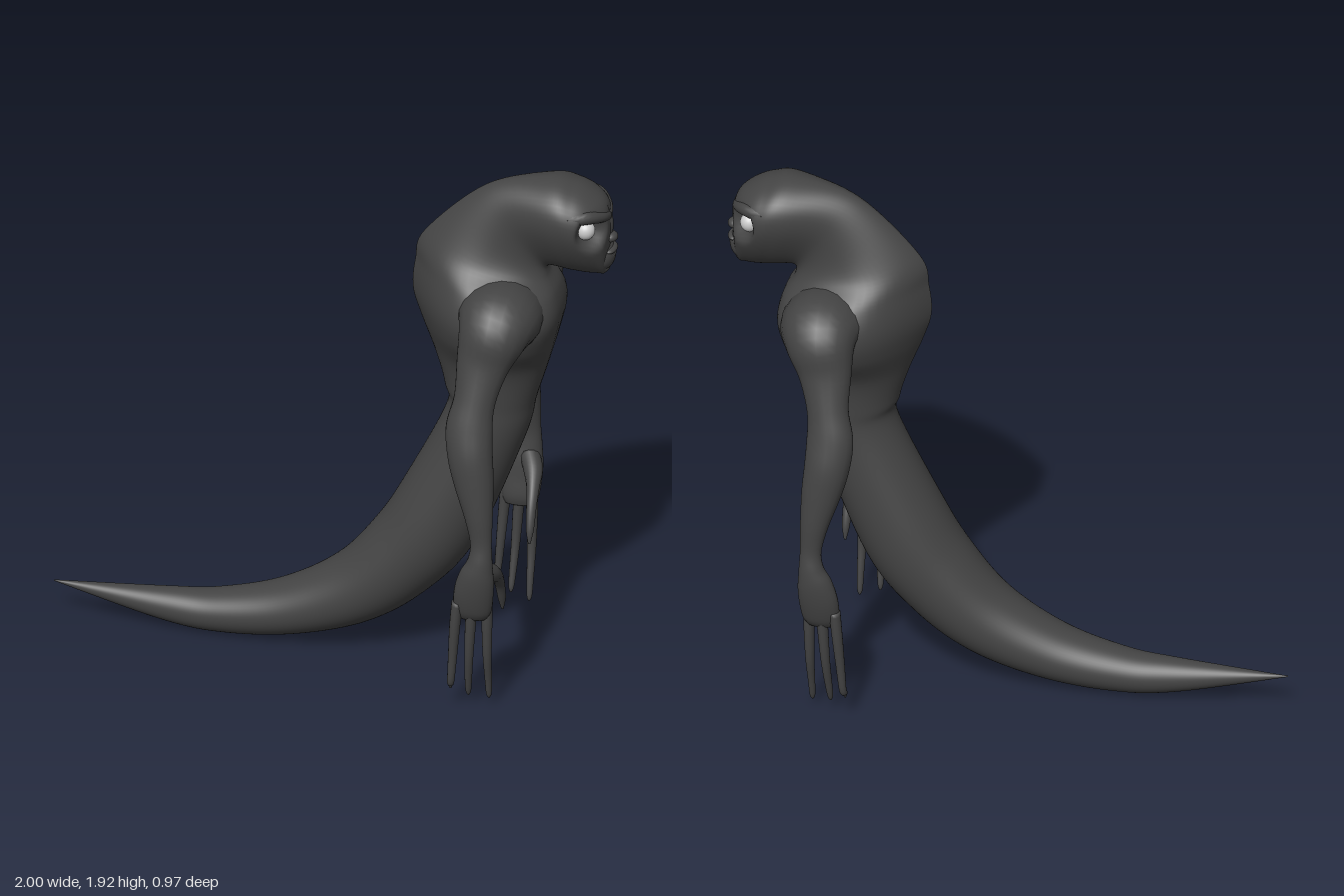
import * as THREE from 'three';

const skin = new THREE.MeshStandardMaterial({ color: 0x444444 });
const eyeWhite = new THREE.MeshStandardMaterial({ color: 0xcccccc });

// Smoothly subdivide a list of equal-length number rows (Catmull-Rom)
function smooth(rows, steps) {
  const out = [];
  const at = i => rows[Math.min(Math.max(i, 0), rows.length - 1)];
  for (let i = 0; i < rows.length - 1; i++) {
    for (let s = 0; s < steps; s++) {
      const t = s / steps;
      out.push(at(i).map((b, k) => {
        const a = at(i - 1)[k], c = at(i + 1)[k], d = at(i + 2)[k];
        return b + 0.5 * t * (c - a + t * (2 * a - 5 * b + 4 * c - d + t * (3 * (b - c) + d - a)));
      }));
    }
  }
  out.push(rows[rows.length - 1]);
  return out;
}

// Skin a list of closed rings and close both ends
function loft(rings) {
  const n = rings[0].length, pos = [], idx = [];
  rings.forEach(r => r.forEach(p => pos.push(p.x, p.y, p.z)));
  for (let i = 0; i < rings.length - 1; i++) {
    for (let j = 0; j < n; j++) {
      const a = i * n + j, b = i * n + (j + 1) % n;
      idx.push(a, b, a + n, b, b + n, a + n);
    }
  }
  [0, rings.length - 1].forEach((i, end) => {
    const c = new THREE.Vector3();
    rings[i].forEach(p => c.addScaledVector(p, 1 / n));
    const ci = pos.length / 3;
    pos.push(c.x, c.y, c.z);
    for (let j = 0; j < n; j++) {
      const a = i * n + j, b = i * n + (j + 1) % n;
      if (end) idx.push(a, b, ci); else idx.push(b, a, ci);
    }
  });
  const g = new THREE.BufferGeometry();
  g.setAttribute('position', new THREE.Float32BufferAttribute(pos, 3));
  g.setIndex(idx);
  g.computeVertexNormals();
  return g;
}

// Press an eye socket into a point on the face
function socket(p) {
  const s = Math.sign(p.z);
  const d = p.distanceTo(new THREE.Vector3(0.93, 1.763, 0.105 * s)) / 0.075;
  if (d < 1) p.addScaledVector(new THREE.Vector3(-0.8, 0, -0.6 * s), 0.055 * (1 - d * d) ** 1.5);
  return p;
}

// Trunk rows: back x, back y, front x, front y, half width, widest-point shift, back ridge sharpness
function trunk(rows) {
  const n = 56;
  return loft(smooth(rows, 8).map(([bx, by, fx, fy, w, k, p]) => Array.from({ length: n }, (_, j) => {
    const t = j / n * Math.PI * 2, c = Math.cos(t), s = Math.sin(t);
    const side = Math.sign(s) * Math.abs(s) ** (c > 0 ? p : p ** -0.6) * (1 + k * c);
    return socket(new THREE.Vector3((bx + fx + (bx - fx) * c) / 2, (by + fy + (by - fy) * c) / 2, w * side));
  })));
}

// Limb rows: centre x, y, z, radius along x, radius across
function limb(rows, sign, n = 20) {
  const pts = smooth(rows, 5).map(([x, y, z, a, b]) => ({ c: new THREE.Vector3(x, y, z * sign), a, b }));
  return loft(pts.map((q, i) => {
    const d = pts[Math.min(i + 1, pts.length - 1)].c.clone().sub(pts[Math.max(i - 1, 0)].c).normalize();
    const u = new THREE.Vector3(1, 0, 0);
    u.addScaledVector(d, -u.dot(d)).normalize();
    const v = d.clone().cross(u);
    return Array.from({ length: n }, (_, j) => {
      const t = j / n * Math.PI * 2;
      return q.c.clone().addScaledVector(u, q.a * Math.cos(t)).addScaledVector(v, q.b * Math.sin(t));
    });
  }));
}

export function createModel() {
  const model = new THREE.Group();
  const add = (name, geo, mat = skin) => {
    const m = new THREE.Mesh(geo, mat);
    m.name = name;
    model.add(m);
    return m;
  };
  const blob = (name, c, r, mat = skin) => {
    const m = add(name, new THREE.SphereGeometry(1, 24, 16), mat);
    m.position.set(...c);
    m.scale.set(...r);
  };

  // Tail, torso, crested neck and head in one skin
  add('body', trunk([
    [-1, 0.132, -1, 0.128, 0.002, 0, 1],
    [-0.6, 0.143, -0.61, 0.024, 0.062, 0, 1],
    [-0.42, 0.156, -0.38, 0.002, 0.088, 0, 1],
    [-0.2, 0.215, -0.12, 0.03, 0.115, 0, 1],
    [0, 0.335, 0.13, 0.11, 0.14, 0, 1],
    [0.14, 0.5, 0.33, 0.25, 0.157, 0, 1],
    [0.24, 0.67, 0.5, 0.46, 0.164, 0, 1],
    [0.39, 0.98, 0.67, 0.88, 0.143, 0, 1.05],
    [0.385, 1.08, 0.71, 1.04, 0.143, 0, 1.15],
    [0.35, 1.2, 0.755, 1.19, 0.165, 0, 1.4],
    [0.3, 1.33, 0.785, 1.3, 0.235, -0.05, 1.8],
    [0.272, 1.43, 0.805, 1.4, 0.255, -0.1, 2],
    [0.28, 1.54, 0.79, 1.48, 0.215, -0.1, 1.9],
    [0.315, 1.66, 0.755, 1.54, 0.135, 0, 1.6],
    [0.53, 1.86, 0.76, 1.575, 0.1, 0.15, 1.3],
    [0.75, 1.918, 0.84, 1.565, 0.14, 0.32, 1.12],
    [0.85, 1.905, 0.89, 1.56, 0.142, 0.35, 1.08],
    [0.92, 1.872, 0.93, 1.558, 0.118, 0.35, 1],
    [0.96, 1.835, 0.957, 1.562, 0.078, 0.25, 1],
    [0.975, 1.78, 0.972, 1.62, 0.025, 0.1, 1],
  ]));

  // Face
  blob('muzzle', [0.94, 1.635, 0], [0.05, 0.062, 0.06]);
  blob('nose', [0.97, 1.703, 0], [0.028, 0.02, 0.03]);
  blob('noseBridge', [0.96, 1.75, 0], [0.022, 0.06, 0.022]);
  blob('upperLip', [0.972, 1.658, 0], [0.024, 0.013, 0.045]);
  blob('lowerLip', [0.968, 1.636, 0], [0.023, 0.013, 0.038]);
  blob('chin', [0.943, 1.587, 0], [0.028, 0.028, 0.035]);

  for (const s of [1, -1]) {
    const side = s > 0 ? 'left' : 'right';
    blob(side + 'Eye', [0.9, 1.765, 0.087 * s], [0.034, 0.035, 0.033], eyeWhite);
    add(side + 'Brow', limb([
      [0.96, 1.785, 0, 0.018, 0.02], [0.942, 1.803, 0.05, 0.026, 0.022],
      [0.902, 1.82, 0.1, 0.026, 0.024], [0.84, 1.815, 0.125, 0.02, 0.024],
    ], s, 16));

    // Arm down to the knuckles
    add(side + 'Arm', limb([
      [0.61, 1.42, 0.05, 0.15, 0.12], [0.615, 1.44, 0.19, 0.15, 0.125],
      [0.605, 1.41, 0.262, 0.125, 0.108], [0.58, 1.32, 0.305, 0.095, 0.07],
      [0.56, 1.2, 0.35, 0.074, 0.055], [0.546, 1.1, 0.378, 0.083, 0.056],
      [0.553, 1, 0.396, 0.08, 0.063], [0.57, 0.9, 0.412, 0.07, 0.056],
      [0.59, 0.78, 0.43, 0.05, 0.042], [0.6, 0.68, 0.44, 0.038, 0.03],
      [0.597, 0.61, 0.445, 0.045, 0.036], [0.585, 0.55, 0.443, 0.062, 0.042],
      [0.573, 0.48, 0.437, 0.07, 0.04], [0.567, 0.41, 0.425, 0.066, 0.034],
      [0.566, 0.375, 0.42, 0.05, 0.02],
    ], s));

    // Fingers: knuckle x, tip x, tip y, knuckle z, tip z
    [[0.515, 0.485, 0.08, 0.437, 0.405], [0.566, 0.543, 0.045, 0.425, 0.378], [0.615, 0.612, 0.03, 0.405, 0.357]]
      .forEach(([x0, x1, y1, z0, z1], i) => {
        const mix = t => x0 + (x1 - x0) * t;
        add(side + 'Finger' + (i + 1), limb([
          [x0, 0.44, z0, 0.02, 0.024], [mix(0.3), 0.34, z0, 0.019, 0.022],
          [mix(0.6), 0.22, z0 - 0.008, 0.016, 0.018],
          [mix(0.85), 0.12, z1 + 0.018, 0.013, 0.014],
          [mix(0.97), y1 + 0.02, z1 + 0.004, 0.01, 0.01], [x1, y1, z1, 0.003, 0.003],
        ], s, 12));
      });

    // Thumb
    add(side + 'Thumb', limb([
      [0.6, 0.57, 0.43, 0.035, 0.035], [0.622, 0.535, 0.38, 0.034, 0.034],
      [0.632, 0.495, 0.325, 0.023, 0.024], [0.635, 0.44, 0.28, 0.018, 0.018],
      [0.636, 0.37, 0.25, 0.014, 0.014], [0.636, 0.32, 0.238, 0.004, 0.004],
    ], s, 12));
  }
  return model;
}
